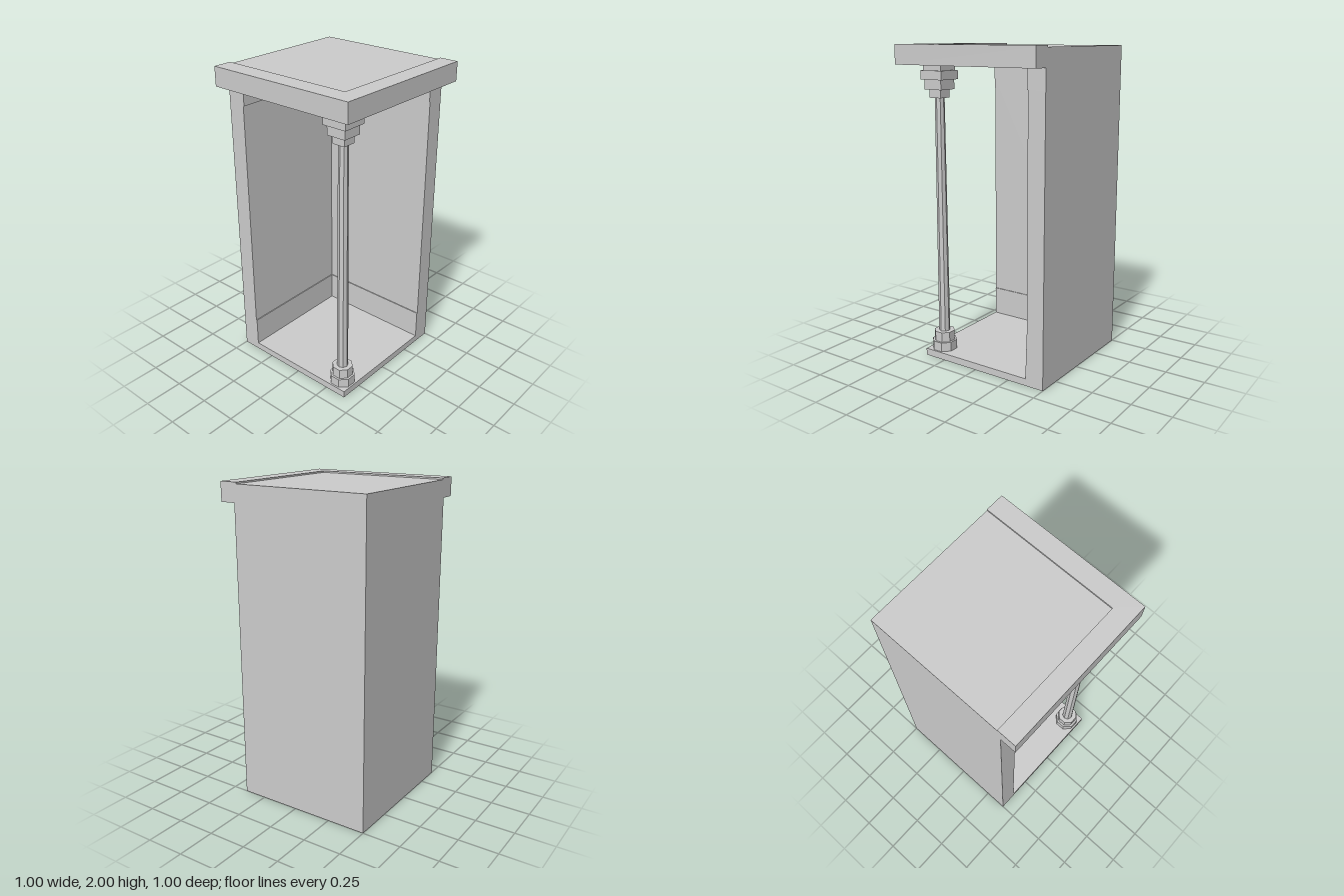
import * as THREE from 'three';

export function createModel() {
  const model = new THREE.Group();
  model.name = 'cornerPorch';
  const stone = new THREE.MeshStandardMaterial({ color: 0xcccccc });
  stone.name = 'pale grey stone';

  function add(name, geometry, parent = model) {
    const mesh = new THREE.Mesh(geometry, stone);
    mesh.name = name;
    parent.add(mesh);
    return mesh;
  }

  function box(name, x0, x1, y0, y1, z0, z1, parent = model) {
    const mesh = add(name, new THREE.BoxGeometry(x1 - x0, y1 - y0, z1 - z0), parent);
    mesh.position.set((x0 + x1) / 2, (y0 + y1) / 2, (z0 + z1) / 2);
  }

  // Extrudes a floor plan, given as [x, z] points, from y0 up to y1
  function plan(name, points, y0, y1) {
    const shape = new THREE.Shape(points.map(([x, z]) => new THREE.Vector2(x, -z)));
    const geometry = new THREE.ExtrudeGeometry(shape, { depth: y1 - y0, bevelEnabled: false });
    geometry.rotateX(-Math.PI / 2).translate(0, y0, 0);
    add(name, geometry);
  }

  // Floor
  box('floor', -0.4, 0.5, 0, 0.045, -0.5, 0.4);

  // L-shaped wall along the back and the left, with a skirting and a top band
  const wallPlan = (t) => [
    [-0.4, -0.5], [0.5, -0.5], [0.5, 0.4], [0.5 - t, 0.4], [0.5 - t, -0.5 + t], [-0.4, -0.5 + t],
  ];
  plan('skirting', wallPlan(0.12), 0.045, 0.235);
  plan('wall', wallPlan(0.114), 0.235, 1.76);
  plan('wallTopBand', wallPlan(0.12), 1.76, 1.88);

  // Roof slab with a raised rim over the two open sides
  box('roof', -0.5, 0.5, 1.88, 1.99, -0.5, 0.5);
  plan('roofRim', [
    [-0.5, -0.5], [-0.38, -0.5], [-0.38, 0.38], [0.5, 0.38], [0.5, 0.5], [-0.5, 0.5],
  ], 1.99, 2);

  // Corner column
  const column = new THREE.Group();
  column.name = 'column';
  column.position.set(-0.314, 0, 0.314);
  model.add(column);

  // Eight-sided drum; turned drums have a flat side to the front
  function drum(name, rTop, rBottom, y0, y1, turn) {
    const geometry = new THREE.CylinderGeometry(rTop, rBottom, y1 - y0, 8).toNonIndexed();
    geometry.rotateY(turn);
    geometry.computeVertexNormals();
    add(name, geometry, column).position.y = (y0 + y1) / 2;
  }
  const flat = 1 / Math.cos(Math.PI / 8);
  drum('columnBaseLower', 0.075 * flat, 0.075 * flat, 0.045, 0.105, Math.PI / 8);
  drum('columnBaseUpper', 0.062 * flat, 0.062 * flat, 0.105, 0.17, Math.PI / 8);
  drum('columnShaft', 0.03, 0.036, 0.17, 1.68, 0);

  // Stepped square capital: half width, bottom, top
  [[0.043, 1.68, 1.73], [0.064, 1.73, 1.79], [0.08, 1.79, 1.845], [0.069, 1.845, 1.88]].forEach(
    ([h, y0, y1], i) => box(`capitalStep${i + 1}`, -h, h, y0, y1, -h, h, column)
  );

  return model;
}
